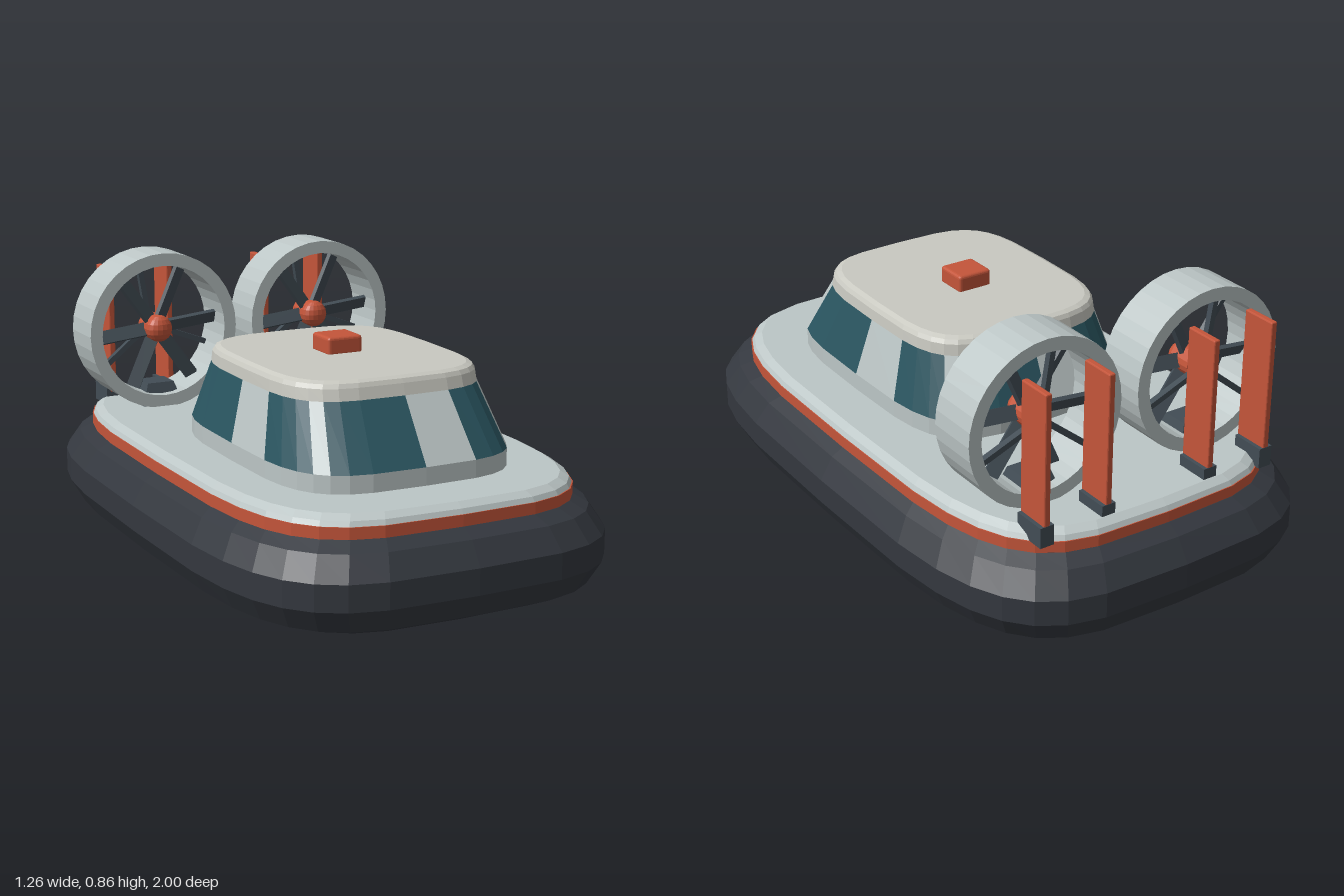
import * as THREE from 'three';
import { RoundedBoxGeometry } from 'three/addons/geometries/RoundedBoxGeometry.js';

const SEG = 32;
const mat = (color) => new THREE.MeshStandardMaterial({ color, flatShading: true });
const rubber = mat(0x34383f), red = mat(0xc4553a), deckGrey = mat(0xbcc6c6),
  roofGrey = mat(0xc9c9c1), glass = mat(0x2a5560), steel = mat(0x424d55);

// Point on a rounded-rectangle ring (superellipse of power 4); ring = [y, halfX, halfZ, centreZ]
function ringPoint([y, a, c, zc = 0], k) {
  const t = (k / SEG) * Math.PI * 2;
  const p = (v) => (Math.abs(v) < 1e-9 ? 0 : Math.sign(v) * Math.sqrt(Math.abs(v)));
  return [a * p(Math.cos(t)), y, zc + c * p(Math.sin(t))];
}

// Skin a stack of rings, bottom to top; keep() picks which segments are built
function loft(rings, { top = false, bottom = false, keep = () => true } = {}) {
  const pos = [];
  const tri = (...pts) => pts.forEach((p) => pos.push(...p));
  for (let k = 0; k < SEG; k++) {
    if (!keep(k)) continue;
    for (let i = 0; i + 1 < rings.length; i++) {
      const a = ringPoint(rings[i], k), b = ringPoint(rings[i], k + 1);
      const d = ringPoint(rings[i + 1], k), c = ringPoint(rings[i + 1], k + 1);
      tri(a, d, c);
      tri(a, c, b);
    }
    const cap = (r, up) => {
      const o = [0, r[0], r[3] ?? 0], p = ringPoint(r, k), q = ringPoint(r, k + 1);
      up ? tri(o, q, p) : tri(o, p, q);
    };
    if (top) cap(rings[rings.length - 1], true);
    if (bottom) cap(rings[0], false);
  }
  const g = new THREE.BufferGeometry();
  g.setAttribute('position', new THREE.Float32BufferAttribute(pos, 3));
  g.computeVertexNormals();
  return g;
}

function add(parent, name, geometry, material, x = 0, y = 0, z = 0) {
  const m = new THREE.Mesh(geometry, material);
  m.name = name;
  m.position.set(x, y, z);
  parent.add(m);
  return m;
}

function makeFan() {
  const fan = new THREE.Group();
  // Duct ring
  const Ro = 0.262, Ri = 0.22, h = 0.085;
  const profile = [[Ro, -h], [Ro, h], [Ri, h], [Ri, -h], [Ro, -h]].map((p) => new THREE.Vector2(...p));
  add(fan, 'duct', new THREE.LatheGeometry(profile, 36).rotateX(Math.PI / 2), deckGrey);
  // Hub with domed nose
  add(fan, 'hub', new THREE.CylinderGeometry(0.045, 0.045, 0.08, 16).rotateX(Math.PI / 2), red);
  add(fan, 'hubNose', new THREE.SphereGeometry(0.045, 16, 8).scale(1, 1, 0.7), red, 0, 0, 0.04);
  // Pitched blades
  for (let i = 0; i < 6; i++) {
    const g = new THREE.BoxGeometry(0.18, 0.045, 0.014).rotateX(0.5).translate(0.125, 0, 0.01);
    add(fan, 'blade', g, steel).rotation.z = THREE.MathUtils.degToRad(6 + 60 * i);
  }
  // Thin struts behind the blades
  for (let i = 0; i < 3; i++) {
    const g = new THREE.BoxGeometry(0.225, 0.018, 0.02).translate(0.1125, 0, -0.055);
    add(fan, 'strut', g, steel).rotation.z = THREE.MathUtils.degToRad(99 + 120 * i);
  }
  // Tapered mount under the duct
  const mount = new THREE.CylinderGeometry(0.055, 0.085, 0.075, 4, 1).rotateY(Math.PI / 4).scale(1.2, 1, 1.1);
  add(fan, 'fanMount', mount, steel, 0, -0.222, 0);
  return fan;
}

export function createModel() {
  const model = new THREE.Group();
  model.name = 'hovercraft';

  // Hull: inflated skirt, trim band and deck
  add(model, 'skirt', loft([
    [0, 0.525, 0.9], [0.03, 0.593, 0.965], [0.1, 0.632, 1], [0.18, 0.632, 1],
    [0.25, 0.59, 0.955], [0.275, 0.55, 0.91],
  ], { bottom: true, top: true }), rubber);
  add(model, 'trimBand', loft([[0.27, 0.553, 0.908], [0.31, 0.553, 0.908]], { top: true }), red);
  add(model, 'deck', loft([[0.31, 0.55, 0.905], [0.325, 0.543, 0.898], [0.34, 0.52, 0.875]], { top: true }), deckGrey);

  // Cabin: sill, glazing band with pillars, roof
  const sill = [0.395, 0.385, 0.505, 0.195], head = [0.58, 0.335, 0.4, 0.172];
  const isPillar = (k) => k % 4 === 3;
  add(model, 'cabinSill', loft([[0.335, 0.385, 0.505, 0.195], sill]), deckGrey);
  add(model, 'windows', loft([sill, head], { keep: (k) => !isPillar(k) }), glass);
  add(model, 'pillars', loft([sill, head], { keep: isPillar }), deckGrey);
  add(model, 'roof', loft([
    head, [0.615, 0.332, 0.392, 0.17], [0.628, 0.325, 0.385, 0.17], [0.635, 0.31, 0.37, 0.17],
  ], { top: true }), roofGrey);
  add(model, 'beacon', new RoundedBoxGeometry(0.118, 0.06, 0.112, 2, 0.01), red, 0, 0.657, 0.145);

  // Fans and rudders on both sides
  for (const s of [-1, 1]) {
    const fan = makeFan();
    fan.name = s > 0 ? 'leftFan' : 'rightFan';
    fan.position.set(s * 0.292, 0.597, -0.625);
    model.add(fan);
    for (const x of [0.185, 0.398]) {
      add(model, 'rudder', new RoundedBoxGeometry(0.021, 0.43, 0.115, 1, 0.004), red, s * x, 0.57, -0.807);
      add(model, 'rudderBase', new THREE.BoxGeometry(0.046, 0.065, 0.11), steel, s * x, 0.342, -0.81);
    }
  }
  return model;
}
